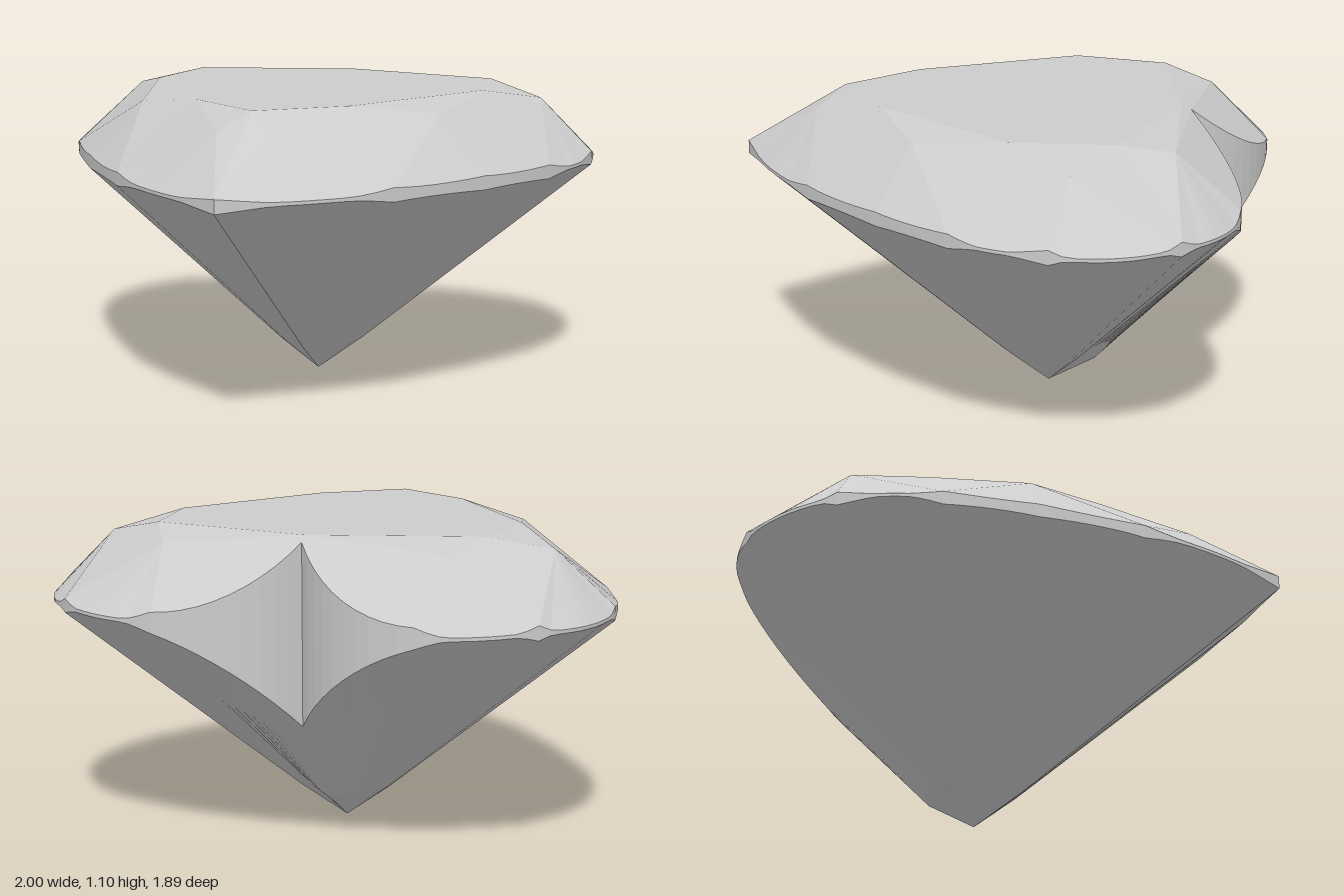
import * as THREE from 'three';

const V = (x, y, z) => new THREE.Vector3(x, y, z);
const STEPS = 10;
const CORE = V(0, 0.6, -0.1); // interior point used to turn every facet outward

// Collects triangles, each one mirrored to the other side of the stone
class Facets {
  constructor() { this.points = []; }
  add(a, b, c) {
    const n = b.clone().sub(a).cross(c.clone().sub(a));
    if (n.length() < 1e-7) return;
    const out = a.clone().add(b).add(c).divideScalar(3).sub(CORE);
    const t = n.dot(out) > 0 ? [a, b, c] : [a, c, b];
    this.points.push(...t, ...[t[0], t[2], t[1]].map(p => V(-p.x, p.y, p.z)));
  }
  quad(a, b, c, d) { this.add(a, b, c); this.add(a, c, d); }
  mesh(name, material) {
    const g = new THREE.BufferGeometry().setFromPoints(this.points);
    g.computeVertexNormals(); // unshared corners give flat facets
    const m = new THREE.Mesh(g, material);
    m.name = name;
    return m;
  }
}

// Height at (x, z) on the plane through three points
function planeY(a, b, c, x, z) {
  const n = b.clone().sub(a).cross(c.clone().sub(a));
  return a.y - (n.x * (x - a.x) + n.z * (z - a.z)) / n.y;
}

export function createModel() {
  const group = new THREE.Group();
  group.name = 'heartCutGem';
  const stone = new THREE.MeshStandardMaterial({ color: 0xcccccc });
  stone.name = 'stone grey';

  // Half heart outline: a spline flank from the tip, then a circular lobe to the cleft
  const flank = new THREE.SplineCurve([
    [0, 0.945], [0.265, 0.772], [0.5, 0.555], [0.74, 0.24], [0.91, -0.05], [0.978, -0.22], [1, -0.4],
  ].map(p => new THREE.Vector2(...p)));
  const lobe = deg => {
    const a = THREE.MathUtils.degToRad(deg);
    return [0.45 + 0.55 * Math.cos(a), -0.4 - 0.55 * Math.sin(a)];
  };
  const flankStops = [0, 2, 3, 4, 6].map(i => i / 6);
  const lobeStops = [0, 47, 90, 144.9];
  const outline = (span, t) => {
    if (span < 4) return flank.getPoint(THREE.MathUtils.lerp(flankStops[span], flankStops[span + 1], t)).toArray();
    const p = lobe(THREE.MathUtils.lerp(lobeStops[span - 4], lobeStops[span - 3], t));
    return span === 6 && t === 1 ? [0, p[1]] : p;
  };

  // Table corners and the crown points between them, from tip to cleft
  const table = [V(0, 1.1, 0.56), V(0.28, 1.1, 0.35), V(0.63, 1.1, -0.19), V(0.585, 1.1, -0.54), V(0, 1.1, -0.68)];
  const mids = [V(0.1, 1.03, 0.64), V(0.56, 1.06, 0.16), V(0.8, 1.05, -0.43), V(0.49, 1.06, -0.73)];
  const culet = V(0, 0, -0.21);
  const spanMid = [0, 1, 1, 2, 2, 3, 3];
  const kiteStation = [0, 1, 3, 5, 7];

  const station = (i, y) => {
    const [x, z] = i < 7 ? outline(i, 0) : outline(6, 1);
    return V(x, y, z);
  };
  const topAt = i => station(i, i === 7 ? 1.08 : 0.862);
  const bottomAt = i => station(i, i === 7 ? 0.45 : i === 6 ? 0.79 : 0.812);

  const tableTop = new Facets(), crown = new Facets(), girdle = new Facets(), pavilion = new Facets();

  // Table, star facets and kite facets
  for (let i = 0; i < 4; i++) {
    tableTop.add(V(0, 1.1, 0), table[i], table[i + 1]);
    crown.add(table[i], mids[i], table[i + 1]);
    crown.add(table[i], mids[i], topAt(kiteStation[i]));
    crown.add(table[i + 1], mids[i], topAt(kiteStation[i + 1]));
  }

  // Each span: outer crown facet, scalloped girdle wall and pavilion facet
  for (let s = 0; s < 7; s++) {
    const mid = mids[spanMid[s]];
    const section = k => {
      const t = k / STEPS;
      const [x, z] = outline(s, t);
      let top = planeY(mid, topAt(s), topAt(s + 1), x, z);
      let bottom = planeY(culet, bottomAt(s), bottomAt(s + 1), x, z);
      if (top - bottom < 0.012) {
        const y = (top + bottom) / 2;
        top = y + 0.006;
        bottom = y - 0.006;
      }
      // The lower bend of the pavilion deepens towards the cleft
      const c = s === 6 ? t : 0;
      const low = V(x, bottom, z);
      const bend = culet.clone().lerp(low, 0.17 + 0.17 * c);
      bend.y *= 0.92 - 0.27 * c;
      return { top: V(x, top, z), low, bend };
    };
    for (let k = 0; k < STEPS; k++) {
      const a = section(k), b = section(k + 1);
      crown.add(mid, a.top, b.top);
      girdle.quad(a.top, b.top, b.low, a.low);
      pavilion.quad(a.low, b.low, b.bend, a.bend);
      pavilion.add(a.bend, b.bend, culet);
    }
  }

  group.add(
    tableTop.mesh('table', stone),
    crown.mesh('crownFacets', stone),
    girdle.mesh('girdle', stone),
    pavilion.mesh('pavilionFacets', stone),
  );
  return group;
}
